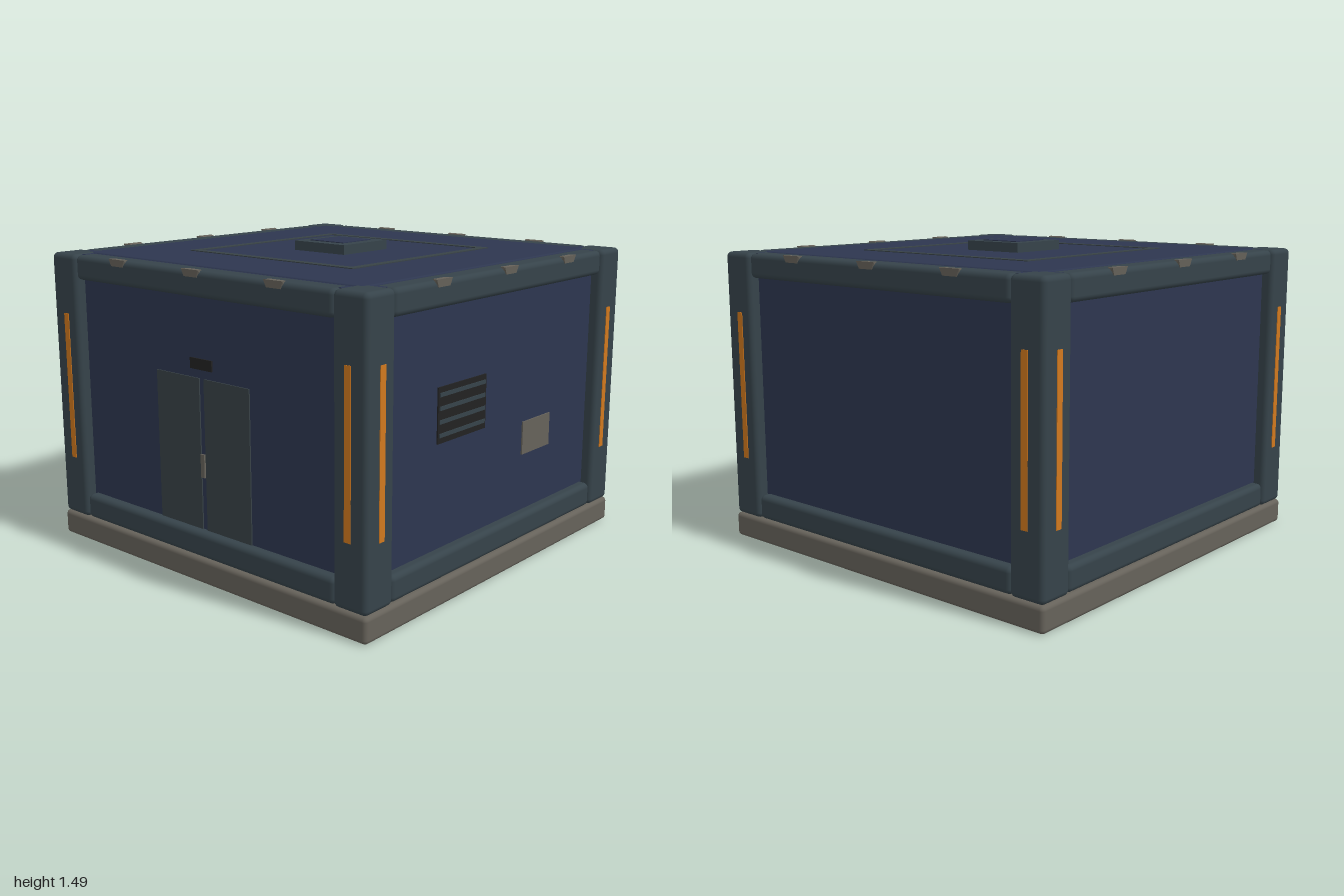
import * as THREE from 'three';
import { RoundedBoxGeometry } from 'three/addons/geometries/RoundedBoxGeometry.js';
import { ConvexGeometry } from 'three/addons/geometries/ConvexGeometry.js';

export function createModel() {
  const model = new THREE.Group();
  model.name = 'modularBuilding';
  const paint = (name, color) => {
    const m = new THREE.MeshStandardMaterial({ color });
    m.name = name;
    return m;
  };
  const navy = paint('navyPanel', 0x2d364f);
  const steel = paint('steelFrame', 0x36434a);
  const doorGrey = paint('doorGrey', 0x384246);
  const stone = paint('warmGrey', 0x66625a);
  const black = paint('ventBlack', 0x222222);
  const orange = paint('orangeLight', 0xd0781e);

  const add = (parent, name, geometry, material) => {
    const mesh = new THREE.Mesh(geometry, material);
    mesh.name = name;
    parent.add(mesh);
    return mesh;
  };
  // Boxes are given by their minimum and maximum corners
  const box = (parent, name, mat, [x0, y0, z0], [x1, y1, z1], radius = 0) => {
    const size = [x1 - x0, y1 - y0, z1 - z0];
    const geo = radius ? new RoundedBoxGeometry(...size, 3, radius) : new THREE.BoxGeometry(...size);
    const mesh = add(parent, name, geo, mat);
    mesh.position.set((x0 + x1) / 2, (y0 + y1) / 2, (z0 + z1) / 2);
    return mesh;
  };

  // Base slab and roof
  box(model, 'baseSlab', stone, [-1, 0, -1], [1, 0.12, 1], 0.02);
  box(model, 'roofPanel', navy, [-0.875, 1.32, -0.875], [0.875, 1.441, 0.875], 0.012);

  // Corner posts
  for (const x of [-0.907, 0.907]) {
    for (const z of [-0.907, 0.907]) {
      box(model, 'cornerPost', steel, [x - 0.09, 0.12, z - 0.09], [x + 0.09, 1.44, z + 0.09], 0.025);
    }
  }

  // Clip wrapped over the outer top edge of a beam
  const clipPoints = [];
  for (const s of [-1, 1]) {
    clipPoints.push(
      new THREE.Vector3(s * 0.055, 1.443, 0.996),
      new THREE.Vector3(s * 0.04, 1.41, 0.994),
      new THREE.Vector3(s * 0.04, 1.442, 0.963),
      new THREE.Vector3(s * 0.035, 1.4, 0.95),
    );
  }
  const clipGeometry = new ConvexGeometry(clipPoints);

  // Four matching sides, each built facing +z and then turned
  const sides = ['front', 'left', 'back', 'right'].map((name, i) => {
    const side = new THREE.Group();
    side.name = name + 'Side';
    side.rotation.y = (i * Math.PI) / 2;
    model.add(side);
    box(side, 'wallPanel', navy, [-0.83, 0.13, 0.88], [0.83, 1.437, 0.94]);
    box(side, 'lowerBeam', steel, [-0.82, 0.12, 0.87], [0.82, 0.24, 0.99], 0.025);
    box(side, 'upperBeam', steel, [-0.82, 1.32, 0.87], [0.82, 1.438, 0.99], 0.025);
    for (const x of [-0.9, 0.9]) {
      box(side, 'lightStrip', orange, [x - 0.017, 0.42, 0.993], [x + 0.017, 1.15, 1]);
    }
    for (const x of [-0.5, 0, 0.5]) {
      add(side, 'edgeClip', clipGeometry, stone).position.x = x;
    }
    return side;
  });

  // Double door, handle and sign on the front
  const front = sides[0];
  for (const s of [-1, 1]) {
    const xs = [s * 0.015, s * 0.3].sort((a, b) => a - b);
    box(front, 'doorLeaf', doorGrey, [xs[0], 0.235, 0.938], [xs[1], 0.95, 0.946]);
  }
  box(front, 'doorHandle', stone, [-0.013, 0.49, 0.942], [0.011, 0.6, 0.951]);
  box(front, 'doorSign', black, [-0.07, 0.99, 0.938], [0.07, 1.04, 0.947]);

  // Louvred vent and access plate; local x runs towards the back
  const left = sides[1];
  box(left, 'ventPlate', black, [-0.46, 0.72, 0.938], [-0.1, 0.97, 0.946]);
  for (let i = 0; i < 4; i++) {
    const y = 0.756 + i * 0.06;
    box(left, 'ventSlat', steel, [-0.45, y - 0.009, 0.942], [-0.11, y + 0.009, 0.95]);
  }
  box(left, 'accessPlate', stone, [0.22, 0.52, 0.938], [0.46, 0.68, 0.947]);

  // Square trim line on the roof
  const square = (path, r) => path.moveTo(-r, -r).lineTo(r, -r).lineTo(r, r).lineTo(-r, r).closePath();
  const outline = square(new THREE.Shape(), 0.522);
  outline.holes.push(square(new THREE.Path(), 0.482));
  const trim = add(model, 'roofTrim', new THREE.ExtrudeGeometry(outline, { depth: 0.005, bevelEnabled: false }), doorGrey);
  trim.rotation.x = -Math.PI / 2;
  trim.position.y = 1.44;

  // Roof hatch
  box(model, 'roofHatch', steel, [-0.16, 1.43, -0.16], [0.16, 1.487, 0.16]);
  box(model, 'hatchPanel', navy, [-0.105, 1.485, -0.105], [0.105, 1.491, 0.105]);

  return model;
}
